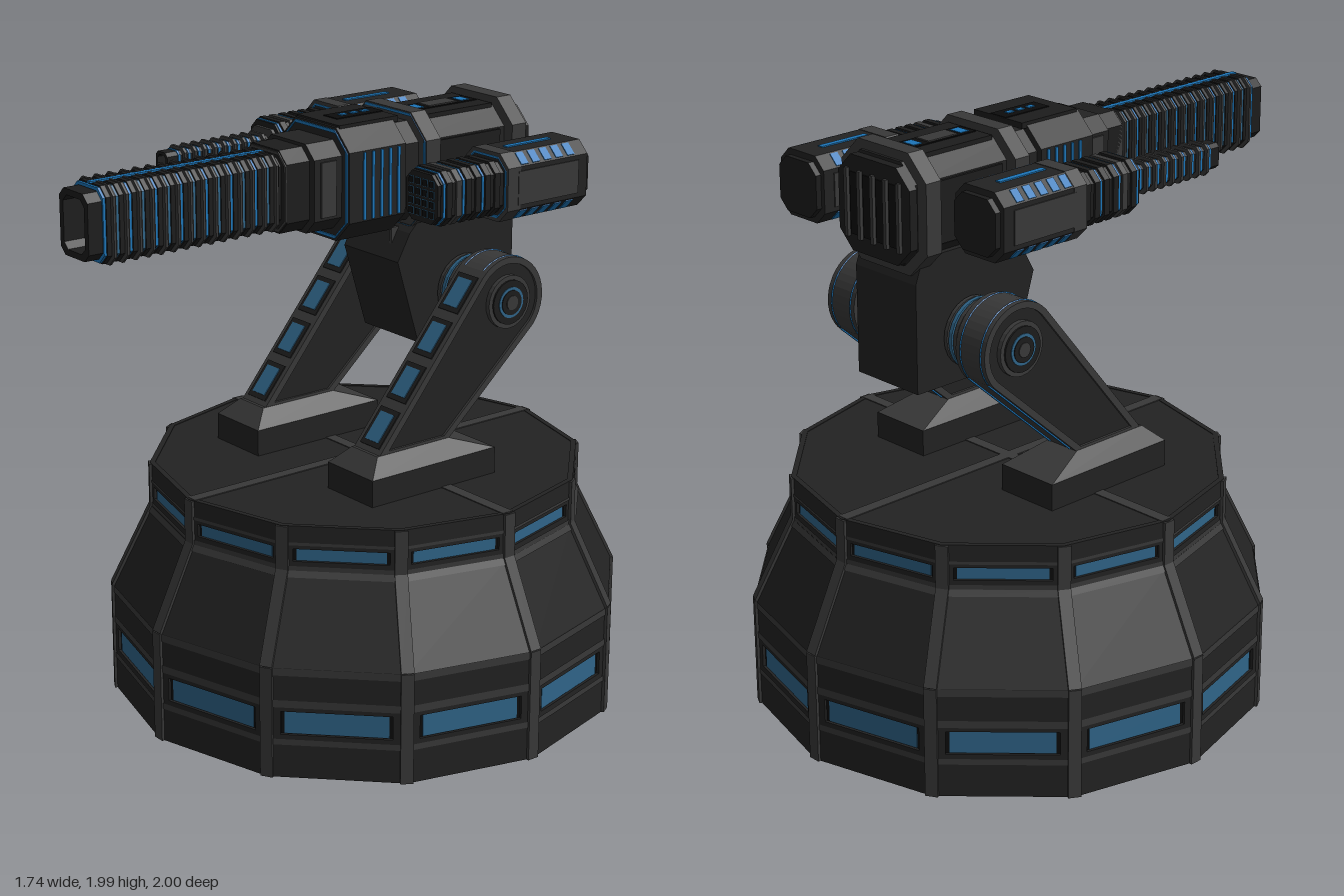
import * as THREE from 'three';

const mat = (color) => new THREE.MeshStandardMaterial({ color, flatShading: true, side: THREE.DoubleSide });
const PANEL = mat(0x222222), TRIM = mat(0x383838), DARK = mat(0x1c1c1c), BLACK = mat(0x0c0c0c);
const GLASS = mat(0x2f6488), GLOW = mat(0x1c75b8);

function add(parent, name, geo, material, x = 0, y = 0, z = 0) {
  const m = new THREE.Mesh(geo, material);
  m.name = name;
  m.position.set(x, y, z);
  parent.add(m);
  return m;
}
const box = (p, name, w, h, d, material, x, y, z) => add(p, name, new THREE.BoxGeometry(w, h, d), material, x, y, z);

// straight bar from a to b, its thickness pointing along up
function beam(p, name, a, b, w, t, material, up) {
  const m = box(p, name, w, t, a.distanceTo(b), material, 0, 0, 0);
  m.position.copy(a).lerp(b, 0.5);
  m.quaternion.setFromRotationMatrix(new THREE.Matrix4().lookAt(b, a, up));
}

// rectangle with cut corners
function cutRect(w, h, c, PathType = THREE.Shape) {
  const x = w / 2, y = h / 2;
  return new PathType([[x, c - y], [x, y - c], [x - c, y], [c - x, y], [-x, y - c], [-x, c - y], [c - x, -y], [x - c, -y]]
    .map(([a, b]) => new THREE.Vector2(a, b)));
}

// cut-corner section running from z0 to z1, optionally hollow
function section(p, name, w, h, c, z0, z1, material, hole = 0) {
  const s = cutRect(w, h, c);
  if (hole) s.holes.push(cutRect(w - hole, h - hole, c * 0.8, THREE.Path));
  add(p, name, new THREE.ExtrudeGeometry(s, { depth: z1 - z0, bevelEnabled: false }), material, 0, 0, z0);
}

// side profile given as (-z, y), extruded along x and centred on x = 0
function sideGeo(shape, width) {
  return new THREE.ExtrudeGeometry(shape, { depth: width, bevelEnabled: false, curveSegments: 10 })
    .translate(0, 0, -width / 2).rotateY(Math.PI / 2);
}
const points = (list) => list.map(([a, b]) => new THREE.Vector2(a, b));

function disc(p, name, r, x0, x1, material, y, z) {
  const g = new THREE.CylinderGeometry(r, r, Math.abs(x1 - x0), 24).rotateZ(Math.PI / 2);
  return add(p, name, g, material, (x0 + x1) / 2, y, z);
}

// twelve-sided open shell with recessed windows
function buildBase() {
  const base = new THREE.Group();
  base.name = 'base';
  base.position.z = -0.13;
  const R0 = 0.866, R1 = 0.73, half = Math.PI / 12;
  const band = (R, y0, y1, w0, w1, inset, face) => {
    const hw = R * Math.sin(half), ap = R * Math.cos(half), ww = hw - inset, y = (w0 + w1) / 2;
    const s = new THREE.Shape(points([[-hw, y0], [hw, y0], [hw, y1], [-hw, y1]]));
    s.holes.push(new THREE.Path(points([[-ww, w0], [-ww, w1], [ww, w1], [ww, w0]])));
    add(face, 'wallPanel', new THREE.ExtrudeGeometry(s, { depth: 0.018, bevelEnabled: false }), PANEL, 0, 0, ap - 0.018);
    box(face, 'windowSlot', ww * 2 + 0.01, w1 - w0 + 0.01, 0.004, BLACK, 0, y, ap - 0.012);
    box(face, 'window', ww * 1.86, (w1 - w0) * 0.94, 0.01, GLASS, 0, y, ap - 0.012);
  };
  for (let i = 0; i < 12; i++) {
    const face = new THREE.Group();
    face.name = 'wallFace';
    face.rotation.y = half + i * half * 2;
    base.add(face);
    band(R0, 0, 0.38, 0.15, 0.23, 0.045, face);
    band(R1, 0.66, 0.81, 0.69, 0.732, 0.035, face);
    // ribs along the corners
    const out = new THREE.Vector3(Math.sin(i * half * 2), 0, Math.cos(i * half * 2));
    const at = (r, y) => out.clone().multiplyScalar(r - 0.004).setY(y);
    [[R0, 0, R0, 0.38], [R0, 0.38, R1, 0.66], [R1, 0.66, R1, 0.808]].forEach(([ra, ya, rb, yb]) =>
      beam(base, 'cornerRib', at(ra, ya), at(rb, yb), 0.042, 0.016, TRIM, out));
  }
  const ring = (name, rTop, rBot, y0, y1, material) =>
    add(base, name, new THREE.CylinderGeometry(rTop, rBot, y1 - y0, 12, 1, true), material, 0, (y0 + y1) / 2, 0);
  ring('slopedWall', R1, R0, 0.38, 0.66, PANEL);
  [[0.115, 0.135], [0.245, 0.27], [0.355, 0.38]].forEach(([a, b]) => ring('lowerBand', R0 + 0.003, R0 + 0.003, a, b, TRIM));
  [[0.66, 0.675], [0.745, 0.755]].forEach(([a, b]) => ring('upperBand', R1 + 0.003, R1 + 0.003, a, b, TRIM));
  ring('slopeTopBand', R1 + 0.004, R1 + 0.014, 0.64, 0.66, TRIM);
  add(base, 'deck', new THREE.CircleGeometry(R1, 12).rotateX(-Math.PI / 2), PANEL, 0, 0.808, 0);
  box(base, 'deckStrip', 0.04, 0.006, 1.44, TRIM, 0, 0.808, 0);
  box(base, 'deckStrip', 1.44, 0.006, 0.04, TRIM, 0, 0.808, 0);
  return base;
}

// outline of a slanted leg, shrunk by d
function legOutline(d, PathType) {
  const s = new PathType();
  s.moveTo(0.17 - 0.37 * d, 0.94 + d);
  s.lineTo(-0.12 + 2.2 * d, 0.94 + d);
  s.absarc(0.43, 1.37, 0.15 - d, 2.42, -0.72, true);
  s.closePath();
  return s;
}

function buildLeg(side) {
  const leg = new THREE.Group();
  leg.name = side > 0 ? 'leftLeg' : 'rightLeg';
  leg.position.x = side * 0.305;
  // foot with sloping top
  box(leg, 'foot', 0.23, 0.09, 0.52, PANEL, 0, 0.853, -0.08);
  const top = new THREE.BoxGeometry(0.23, 0.055, 0.52), p = top.attributes.position;
  for (let i = 0; i < p.count; i++) {
    if (p.getY(i) > 0) p.setXYZ(i, p.getX(i) * 0.57, p.getY(i), p.getZ(i) > 0 ? 0.2 : -0.1);
  }
  add(leg, 'footSlope', top, TRIM, 0, 0.925, -0.08);
  // strut with raised edge
  const frame = legOutline(0, THREE.Shape);
  frame.holes.push(legOutline(0.022, THREE.Path));
  add(leg, 'strutFrame', sideGeo(frame, 0.13), TRIM);
  add(leg, 'strutCore', sideGeo(legOutline(0.01, THREE.Shape), 0.112), PANEL);
  // windows up the front edge
  const a = new THREE.Vector3(0, 0.94, 0.12), b = new THREE.Vector3(0, 1.469, -0.317);
  const n = new THREE.Vector3(0, 0.64, 0.77);
  const on = (y) => a.clone().lerp(b, (y - a.y) / (b.y - a.y));
  for (let i = 0; i < 4; i++) {
    const y = 1.02 + i * 0.131;
    beam(leg, 'windowFrame', on(y - 0.053), on(y + 0.053), 0.095, 0.008, DARK, n);
    beam(leg, 'window', on(y - 0.04), on(y + 0.04), 0.066, 0.014, GLASS, n);
  }
  // blue lines round the top and down the back
  [-0.045, 0.045].forEach((x) => {
    beam(leg, 'backLine', new THREE.Vector3(x, 0.96, -0.193), new THREE.Vector3(x, 1.271, -0.543), 0.008, 0.008, GLOW, new THREE.Vector3(0, -0.75, -0.66));
    add(leg, 'topLine', new THREE.TorusGeometry(0.149, 0.004, 4, 14, 2.9).rotateZ(-0.65).rotateY(Math.PI / 2), GLOW, x, 1.37, -0.43);
  });
  // pivot cap and ribbed axle
  [[0.09, 0.072, TRIM], [0.075, 0.078, DARK], [0.052, 0.081, GLASS], [0.042, 0.084, DARK], [0.024, 0.087, TRIM]]
    .forEach(([r, x, m]) => disc(leg, 'pivotCap', r, side * 0.05, side * x, m, 1.37, -0.43));
  disc(leg, 'axle', 0.105, -side * 0.05, -side * 0.18, DARK, 1.37, -0.43);
  for (let i = 0; i < 4; i++) {
    const x = -side * (0.07 + i * 0.024);
    disc(leg, 'axleRing', 0.125 - i * 0.003, x, x - side * 0.014, i % 2 ? TRIM : GLASS, 1.37, -0.43);
  }
  return leg;
}

function buildGun() {
  const gun = new THREE.Group();
  gun.name = 'mainGun';
  gun.position.y = 1.79;
  // barrel with plates, blue gaps and hollow muzzle
  section(gun, 'barrelCore', 0.16, 0.22, 0.025, 0.2, 0.82, DARK);
  section(gun, 'muzzle', 0.155, 0.21, 0.025, 0.8, 1, DARK, 0.04);
  section(gun, 'boreEnd', 0.12, 0.17, 0.02, 0.82, 0.83, BLACK);
  for (let i = 0; i < 14; i++) {
    const z = 0.292 + i * 0.047;
    section(gun, 'barrelPlate', 0.172, 0.243, 0.03, z, z + 0.036, DARK, 0.02);
    section(gun, 'barrelRib', 0.2, 0.25, 0.03, z + 0.012, z + 0.02, TRIM, 0.04);
    section(gun, 'barrelGlow', 0.166, 0.234, 0.028, z + 0.037, z + 0.046, i % 2 ? GLOW : GLASS, 0.02);
  }
  box(gun, 'barrelStrip', 0.018, 0.006, 0.65, GLOW, 0, 0.123, 0.62);
  // receiver sections
  [['collar', 0.22, 0.27, 0.04, 0.19, 0.28, DARK], ['neck', 0.27, 0.29, 0.045, 0.08, 0.19, PANEL],
    ['flange', 0.35, 0.37, 0.07, -0.15, 0.08, PANEL], ['receiver', 0.31, 0.33, 0.06, -0.66, -0.15, PANEL],
    ['frontClamp', 0.39, 0.39, 0.08, -0.28, -0.22, TRIM], ['rearClamp', 0.39, 0.39, 0.08, -0.65, -0.59, TRIM],
    ['rearCap', 0.33, 0.31, 0.06, -0.69, -0.66, DARK]].forEach((s) => section(gun, ...s));
  section(gun, 'flangeGlow', 0.335, 0.355, 0.066, 0.08, 0.084, GLOW, 0.02);
  section(gun, 'clampGlow', 0.38, 0.38, 0.078, -0.22, -0.217, GLOW, 0.016);
  section(gun, 'neckFrame', 0.22, 0.26, 0.04, 0.19, 0.284, TRIM, 0.02);
  // slots on top and plates on the sides
  box(gun, 'topPlate', 0.22, 0.02, 0.24, DARK, 0, 0.181, -0.05);
  box(gun, 'topSlot', 0.07, 0.008, 0.19, BLACK, 0, 0.19, -0.075);
  [-0.12, -0.075, -0.03].forEach((z) => box(gun, 'topLamp', 0.018, 0.008, 0.028, GLOW, 0, 0.193, z));
  box(gun, 'rearPlate', 0.2, 0.02, 0.29, DARK, 0, 0.165, -0.435);
  box(gun, 'rearSlot', 0.075, 0.008, 0.27, BLACK, 0, 0.174, -0.435);
  box(gun, 'rearHatch', 0.06, 0.012, 0.12, TRIM, 0, 0.176, -0.43);
  [-0.53, -0.335].forEach((z) => box(gun, 'rearLamp', 0.05, 0.01, 0.035, GLOW, 0, 0.175, z));
  [-1, 1].forEach((s) => {
    box(gun, 'neckPlate', 0.012, 0.18, 0.06, TRIM, s * 0.135, 0, 0.135);
    for (let i = 0; i < 5; i++) box(gun, 'sideLine', 0.008, 0.22, 0.01, GLOW, s * 0.176, 0, -0.12 + i * 0.035);
    box(gun, 'sidePlate', 0.012, 0.2, 0.26, DARK, s * 0.158, 0, -0.435);
  });
  // rear vents
  for (let i = 0; i < 4; i++) box(gun, 'rearVent', 0.034, 0.2, 0.008, BLACK, -0.09 + i * 0.06, 0, -0.69);
  for (let i = 0; i < 5; i++) box(gun, 'rearFin', 0.014, 0.22, 0.016, TRIM, -0.12 + i * 0.06, 0, -0.694);
  return gun;
}

// shared side pod; front of the casing lies at local z = 0
function buildPod(name, x, y, z) {
  const pod = new THREE.Group(), s = Math.sign(x);
  pod.name = name;
  pod.position.set(x, y, z);
  section(pod, 'casing', 0.21, 0.22, 0.04, -0.34, 0, PANEL);
  section(pod, 'casingRear', 0.18, 0.18, 0.035, -0.36, -0.34, DARK);
  section(pod, 'casingRim', 0.214, 0.224, 0.042, -0.05, 0.004, TRIM, 0.03);
  section(pod, 'casingGlow', 0.195, 0.2, 0.04, 0, 0.006, GLOW, 0.014);
  section(pod, 'shroud', 0.16, 0.165, 0.03, 0, 0.26, DARK);
  for (let i = 0; i < 6; i++) {
    section(pod, 'shroudRib', 0.174, 0.178, 0.032, 0.02 + i * 0.04, 0.042 + i * 0.04, i === 4 ? TRIM : DARK, 0.03);
    if (i % 2) section(pod, 'shroudGlow', 0.165, 0.17, 0.03, 0.045 + i * 0.04, 0.053 + i * 0.04, GLOW, 0.02);
  }
  box(pod, 'topStrip', 0.02, 0.006, 0.19, GLOW, 0, 0.111, -0.17);
  [-1, 1].forEach((sx) => {
    box(pod, 'sidePlate', 0.008, 0.11, 0.26, TRIM, sx * 0.105, 0, -0.17);
    [-1, 1].forEach((sy) => {
      for (let i = 0; i < 5; i++) {
        box(pod, 'edgeLamp', 0.045, 0.006, 0.03, GLOW, sx * 0.085, sy * 0.09, -0.27 + i * 0.05).rotation.z = -sx * sy * Math.PI / 4;
      }
    });
  });
  // flattened ribbed arm to the main gun
  const arm = (part, r, x0, x1, material) => { disc(pod, part, r, -s * x0, -s * x1, material, 0, -0.16).scale.z = 1.7; };
  arm('arm', 0.033, 0.09, 0.23, DARK);
  for (let i = 0; i < 3; i++) arm('armRing', 0.038, 0.115 + i * 0.03, 0.13 + i * 0.03, i === 1 ? GLASS : TRIM);
  return pod;
}

export function createModel() {
  const model = new THREE.Group();
  model.name = 'turret';
  model.add(buildBase(), buildLeg(1), buildLeg(-1), buildGun());

  // block between the legs
  const block = new THREE.Shape(points([[0.65, 1.21], [0.65, 1.57], [0.62, 1.65], [0.26, 1.65], [0.2, 1.59], [0.15, 1.5], [0.24, 1.21]]));
  add(model, 'yoke', sideGeo(block, 0.28), PANEL);
  [-0.07, 0.07].forEach((x) => box(model, 'yokeRib', 0.012, 0.06, 0.03, TRIM, x, 1.57, -0.19));

  // launcher with a grid of tubes
  const launcher = buildPod('leftLauncher', 0.365, 1.78, -0.33);
  section(launcher, 'launcherFace', 0.155, 0.16, 0.03, 0.26, 0.272, DARK);
  for (let i = 0; i < 16; i++) {
    const x = (i % 4 - 1.5) * 0.033, y = (Math.floor(i / 4) - 1.5) * 0.033;
    box(launcher, 'tubeRim', 0.024, 0.024, 0.004, GLASS, x, y, 0.272);
    box(launcher, 'tube', 0.02, 0.02, 0.004, BLACK, x, y, 0.274);
  }

  // small cannon with a thin ribbed barrel
  const cannon = buildPod('rightCannon', -0.375, 1.815, -0.26);
  section(cannon, 'cannonFace', 0.13, 0.13, 0.02, 0.26, 0.272, TRIM);
  section(cannon, 'cannonBarrel', 0.065, 0.085, 0.012, 0.26, 0.6, DARK);
  section(cannon, 'cannonMuzzle', 0.065, 0.085, 0.012, 0.6, 0.68, DARK, 0.02);
  for (let i = 0; i < 9; i++) {
    section(cannon, 'cannonRib', 0.09, 0.105, 0.014, 0.29 + i * 0.04, 0.3 + i * 0.04, TRIM, 0.03);
    section(cannon, 'cannonGlow', 0.07, 0.09, 0.012, 0.31 + i * 0.04, 0.318 + i * 0.04, GLOW, 0.02);
  }
  model.add(launcher, cannon);
  return model;
}
